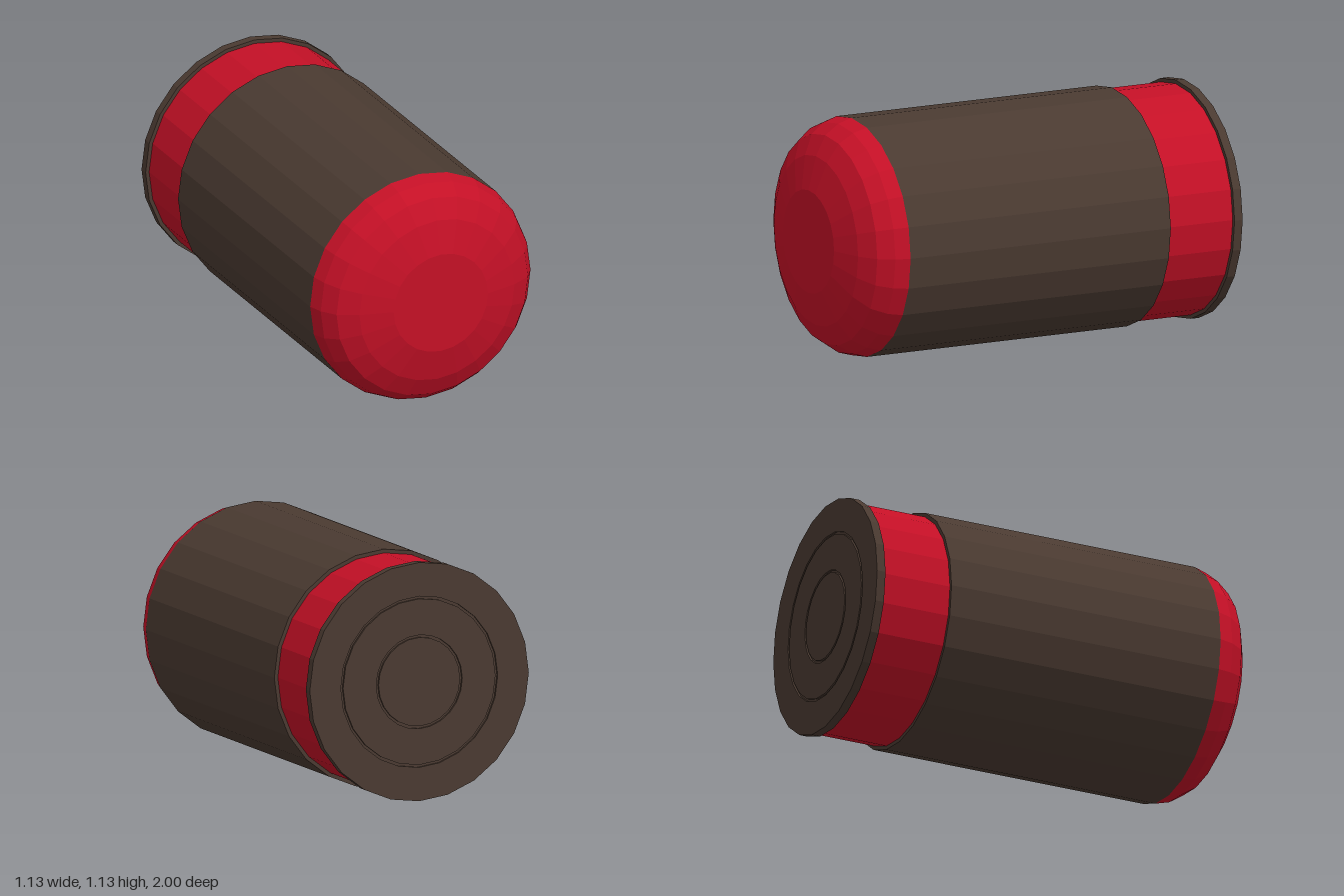
import * as THREE from 'three';

const SIDES = 24;
const RADIUS = 0.565;
const NECK = 0.547;
const CENTRE_Y = 0.57;

export function createModel() {
  const red = new THREE.MeshStandardMaterial({ name: 'red', color: 0xc41026, flatShading: true });
  const brown = new THREE.MeshStandardMaterial({ name: 'darkBrown', color: 0x4a3a31, flatShading: true });

  const model = new THREE.Group();
  model.name = 'cartridge';

  // Turned part along z: profile of [radius, z] pairs running from back to front
  const turned = (name, material, profile) => {
    const points = profile.map(([r, z]) => new THREE.Vector2(r, z));
    const geometry = new THREE.LatheGeometry(points, SIDES).rotateX(Math.PI / 2);
    const mesh = new THREE.Mesh(geometry, material);
    mesh.name = name;
    mesh.position.y = CENTRE_Y;
    model.add(mesh);
  };

  // Shallow ring groove cut into the flat back of the base
  const groove = (r) => [[r, -1], [r, -0.99], [r + 0.012, -0.99], [r + 0.012, -1]];

  // Base rim with two concentric grooves
  turned('baseRim', brown, [
    [0, -1], ...groove(0.21), ...groove(0.393),
    [RADIUS, -1], [RADIUS, -0.957], [NECK, -0.957],
  ]);

  // Recessed band between rim and casing
  turned('neckBand', red, [[NECK, -0.957], [NECK, -0.617]]);

  // Long casing with its rear shoulder
  turned('casing', brown, [[NECK, -0.617], [RADIUS, -0.617], [RADIUS, 0.77]]);

  // Blunt rounded nose
  turned('nose', red, [
    [RADIUS, 0.77], [0.545, 0.84], [0.497, 0.91], [0.403, 0.96], [0.245, 1], [0, 1],
  ]);

  return model;
}
